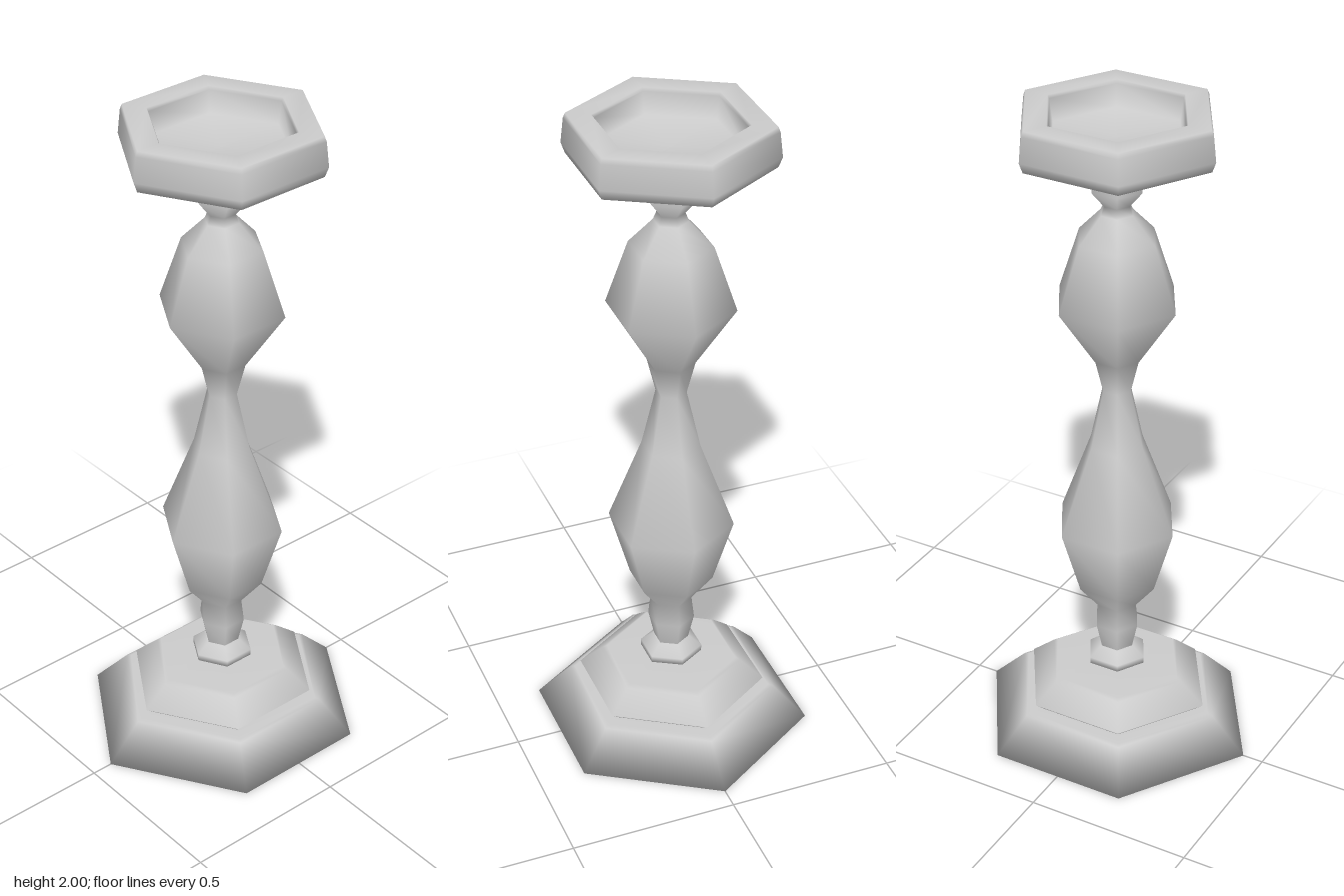
import * as THREE from 'three';

const material = new THREE.MeshStandardMaterial({ color: 0xcccccc, side: THREE.DoubleSide });

// Six-sided turned part from [radius, height] pairs, corners on the z axis;
// sidePull draws the four side corners inwards
function turned(name, profile, sidePull = 1) {
  const points = profile.map(([r, y]) => new THREE.Vector2(r, y));
  const geometry = new THREE.LatheGeometry(points, 6);
  const pos = geometry.attributes.position;
  for (let i = 0; i < pos.count; i++) {
    if (Math.abs(pos.getX(i)) > 1e-4) {
      pos.setX(i, pos.getX(i) * sidePull);
      pos.setZ(i, pos.getZ(i) * sidePull);
    }
  }
  const mesh = new THREE.Mesh(geometry, material);
  mesh.name = name;
  return mesh;
}

export function createModel() {
  const group = new THREE.Group();
  group.name = 'candlestick';

  // Wide sloping foot with a flat underside
  group.add(turned('foot', [
    [0, 0], [0.437, 0], [0.33, 0.108], [0.315, 0.112], [0.262, 0.112],
  ], 0.956));

  // Second step with an undercut edge
  group.add(turned('baseStep', [
    [0.262, 0.112], [0.272, 0.115], [0.296, 0.135], [0.222, 0.197], [0.208, 0.205], [0.06, 0.205],
  ], 0.956));

  // Small collar under the stem
  group.add(turned('collar', [
    [0.062, 0.205], [0.093, 0.222], [0.093, 0.242], [0.058, 0.27], [0.05, 0.272],
  ]));

  // Baluster stem with two swellings and an upper knob
  group.add(turned('stem', [
    [0.052, 0.27], [0.07, 0.35], [0.062, 0.42], [0.125, 0.5], [0.186, 0.705],
    [0.086, 0.97], [0.045, 1.15], [0.07, 1.25], [0.186, 1.43], [0.12, 1.625],
    [0.05, 1.7], [0.04, 1.725], [0.08, 1.775], [0.048, 1.84], [0.045, 1.88],
  ]));

  // Candle cup with flat rim and recessed bowl
  group.add(turned('cup', [
    [0.045, 1.88], [0.289, 1.882], [0.3, 1.912], [0.292, 1.985], [0.286, 2],
    [0.215, 2], [0.21, 1.99], [0.2, 1.925], [0, 1.92],
  ]));

  return group;
}
